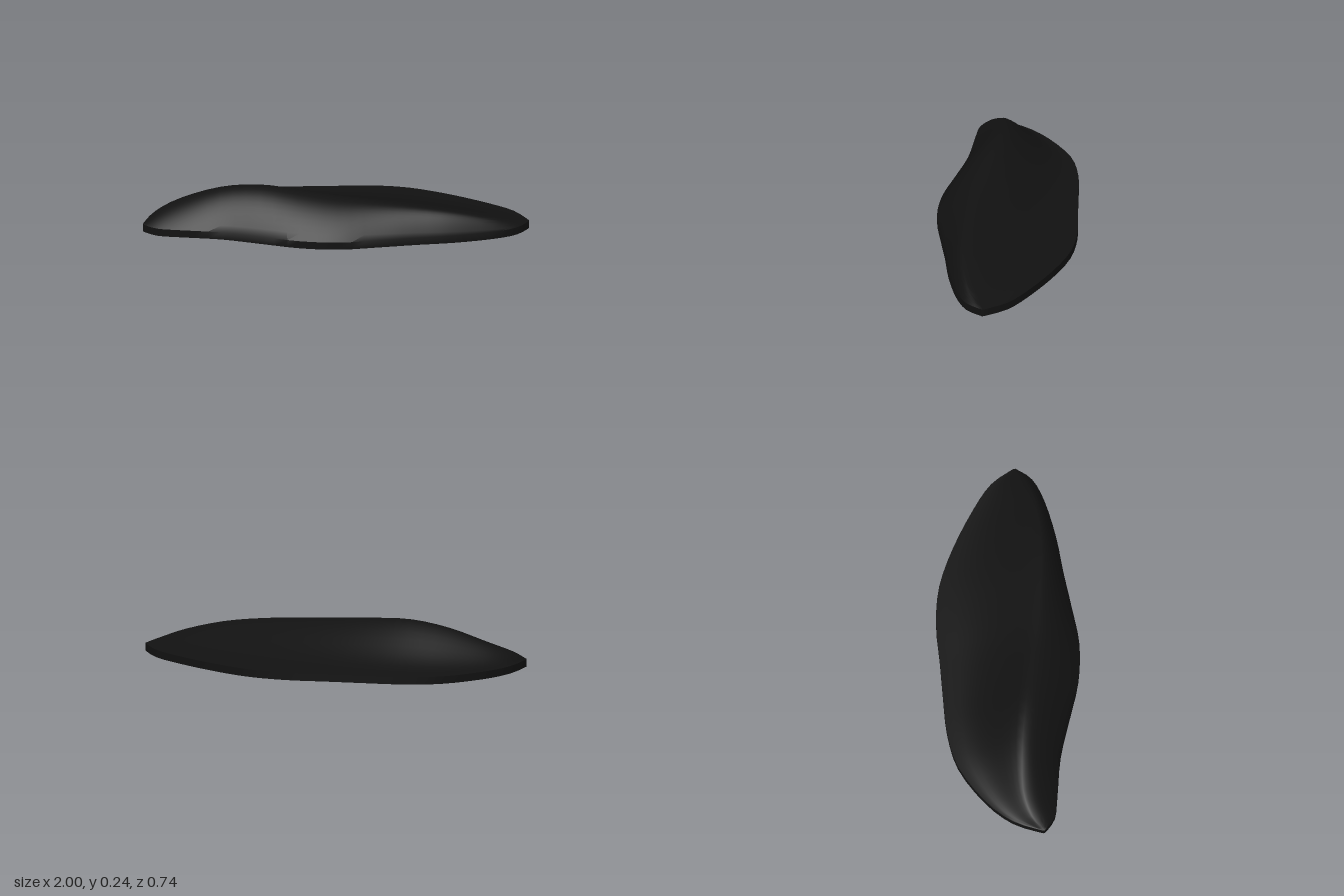
import * as THREE from 'three';
import { toCreasedNormals } from 'three/addons/utils/BufferGeometryUtils.js';

// Stations along the length: x, back edge z, front edge z, ridge z, ridge height
const STATIONS = [
  [-1.0, 0.06, 0.07, 0.065, 0.04],
  [-0.93, -0.09, 0.13, 0.01, 0.09],
  [-0.8, -0.22, 0.16, -0.02, 0.145],
  [-0.6, -0.335, 0.2, 0.0, 0.21],
  [-0.4, -0.37, 0.27, 0.04, 0.237],
  [-0.2, -0.367, 0.34, 0.09, 0.225],
  [0.0, -0.36, 0.37, 0.14, 0.205],
  [0.2, -0.355, 0.355, 0.185, 0.19],
  [0.4, -0.315, 0.335, 0.22, 0.172],
  [0.6, -0.22, 0.32, 0.24, 0.145],
  [0.8, -0.09, 0.285, 0.23, 0.1],
  [0.93, 0.02, 0.235, 0.19, 0.06],
  [1.0, 0.145, 0.155, 0.15, 0.04],
];
const RIM = 0.04;
const STEPS = 10; // divisions on each slope

// Slope profiles from ridge (t = 0) to edge (t = 1)
const backSlope = (t) => Math.pow(1 - t, 2.3) * (1 + 1.5 * t); // hollow
const frontSlope = (t) => 1 - Math.pow(t, 1.9); // bulging

// One closed cross-section: rim wall, hollow back, ridge, bulging front, rim wall
function crossSection([x, back, front, ridge, height]) {
  const ring = [[x, 0, back]];
  for (let i = STEPS; i > 0; i--) {
    const t = i / STEPS;
    ring.push([x, RIM + (height - RIM) * backSlope(t), ridge + (back - ridge) * t]);
  }
  for (let i = 0; i <= STEPS; i++) {
    const t = i / STEPS;
    ring.push([x, RIM + (height - RIM) * frontSlope(t), ridge + (front - ridge) * t]);
  }
  ring.push([x, 0, front]);
  return ring;
}

function moundGeometry() {
  // Smooth the station values along the length
  const curves = [1, 2, 3, 4].map(
    (k) => new THREE.SplineCurve(STATIONS.map((s) => new THREE.Vector2(s[0], s[k])))
  );
  const count = (STATIONS.length - 1) * 3;
  const positions = [];
  const index = [];
  let n = 0;
  for (let i = 0; i <= count; i++) {
    const pts = curves.map((c) => c.getPoint(i / count));
    const ring = crossSection([pts[0].x, ...pts.map((p) => p.y)]);
    n = ring.length;
    ring.forEach((p) => positions.push(...p));
  }
  // Skin between neighbouring sections; the last strip closes the flat base
  for (let i = 0; i < count; i++) {
    for (let j = 0; j < n; j++) {
      const k = (j + 1) % n;
      const a = i * n + j, b = a + n, c = i * n + k, d = c + n;
      index.push(a, c, b, b, c, d);
    }
  }
  // End caps
  for (let j = 1; j < n - 1; j++) {
    const e = count * n;
    index.push(0, j + 1, j, e, e + j, e + j + 1);
  }
  const geometry = new THREE.BufferGeometry();
  geometry.setAttribute('position', new THREE.Float32BufferAttribute(positions, 3));
  geometry.setIndex(index);
  return toCreasedNormals(geometry, 0.6);
}

export function createModel() {
  const model = new THREE.Group();
  model.name = 'moundModel';
  const material = new THREE.MeshStandardMaterial({ color: 0x111111 });
  const mound = new THREE.Mesh(moundGeometry(), material);
  mound.name = 'mound';
  model.add(mound);
  return model;
}
